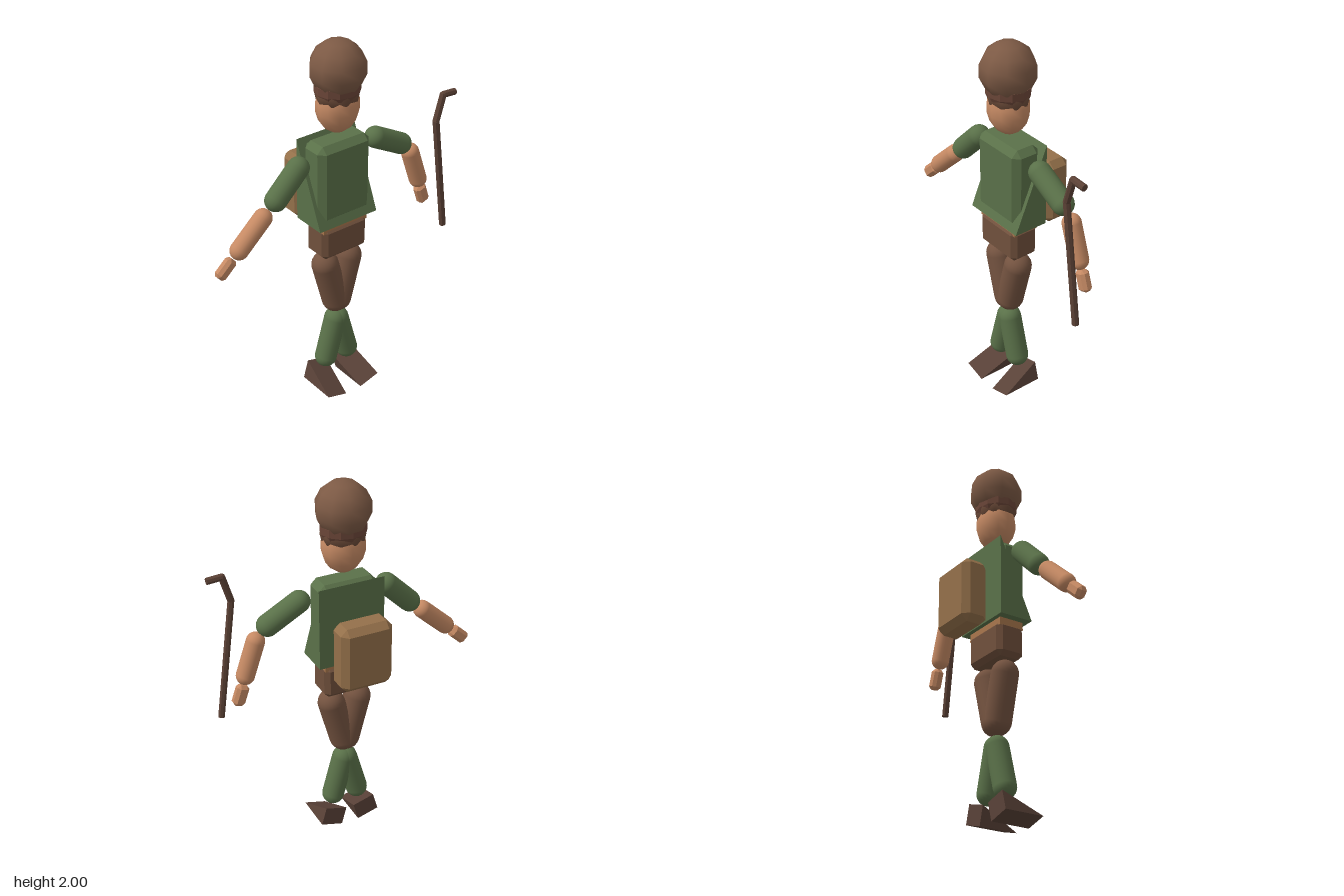
import * as THREE from 'three';
import { ConvexGeometry } from 'three/addons/geometries/ConvexGeometry.js';

const CX = 0.028, CZ = 0.066; // body axis
const C = {
  skin: 0xc68a64, hat: 0x7d5a45, band: 0x6b4638, hair: 0x6b4a38, green: 0x5a7149,
  trousers: 0x745340, pelvis: 0x70503c, belt: 0xa8764c, pack: 0x94704a, shoe: 0x5a4238, cane: 0x5c4236,
};

function mesh(name, geometry, color, flat = false) {
  const m = new THREE.Mesh(geometry, new THREE.MeshStandardMaterial({ color, flatShading: flat }));
  m.name = name;
  return m;
}

// Box with every edge and corner chamfered by c
function chamferBox(w, h, d, c) {
  const half = [w / 2, h / 2, d / 2], pts = [];
  for (const sx of [-1, 1]) for (const sy of [-1, 1]) for (const sz of [-1, 1])
    for (let axis = 0; axis < 3; axis++) {
      const p = half.map((v, i) => (i === axis ? v : v - c));
      pts.push(new THREE.Vector3(p[0] * sx, p[1] * sy, p[2] * sz));
    }
  return new ConvexGeometry(pts);
}

// Triangular prism: upright back at z = 0, sloping down to the toe at z = depth
function wedge(width, height, depth) {
  const s = new THREE.Shape([[0, 0], [depth, 0], [0, height]].map(p => new THREE.Vector2(...p)));
  return new THREE.ExtrudeGeometry(s, { depth: width, bevelEnabled: false })
    .translate(0, 0, -width / 2).rotateY(-Math.PI / 2);
}

// Places a geometry that runs along y between two points
function span(m, a, b) {
  m.position.copy(a).add(b).multiplyScalar(0.5);
  m.quaternion.setFromUnitVectors(new THREE.Vector3(0, 1, 0), b.clone().sub(a).normalize());
  return m;
}

// Limb segment: capsule between the two centres of its round ends
function limb(name, a, b, r, color) {
  const A = new THREE.Vector3(...a, CZ), B = new THREE.Vector3(...b, CZ);
  return span(mesh(name, new THREE.CapsuleGeometry(r, A.distanceTo(B), 8, 20), color), A, B);
}

function at(m, x, y, z) {
  m.position.set(x, y, z);
  return m;
}

export function createModel() {
  const g = new THREE.Group();
  g.name = 'hiker';

  // Head, hair, hat
  const head = at(mesh('head', new THREE.SphereGeometry(1, 12, 9), C.skin), CX, 1.66, CZ);
  head.scale.set(0.115, 0.14, 0.103);
  const hair = at(mesh('hair', new THREE.SphereGeometry(1, 9, 5, 0, Math.PI * 2, 0, Math.PI * 0.62), C.hair), CX, 1.73, CZ);
  hair.scale.set(0.118, 0.1, 0.106);
  hair.material.side = THREE.DoubleSide;
  const band = at(mesh('hatBand', new THREE.LatheGeometry(
    [[0, -0.032], [0.108, -0.032], [0.118, -0.01], [0.118, 0.03], [0, 0.03]].map(p => new THREE.Vector2(...p)), 12), C.band, true), CX, 1.75, CZ);
  band.scale.z = 0.92;
  const hat = at(mesh('hat', new THREE.SphereGeometry(0.144, 9, 7), C.hat), CX, 1.857, CZ);
  hat.rotation.y = Math.PI;
  g.add(head, hair, band, hat);

  // Torso, flared vest, belt, pelvis, backpack
  g.add(
    at(mesh('torso', chamferBox(0.32, 0.43, 0.16, 0.033), C.green, true), CX, 1.275, CZ),
    at(mesh('vest', wedge(0.36, 0.445, 0.19), C.green, true), CX, 1.047, -0.028),
    at(mesh('belt', new THREE.BoxGeometry(0.275, 0.06, 0.14), C.belt, true), CX, 1.035, CZ),
    at(mesh('pelvis', chamferBox(0.28, 0.185, 0.16, 0.025), C.pelvis, true), CX, 0.938, CZ),
    at(mesh('backpack', chamferBox(0.28, 0.355, 0.145, 0.033), C.pack, true), CX, 1.163, -0.147),
  );

  // Arms, each posed by its own joints
  const arms = [
    { side: 'right', upper: [[-0.212, 1.395], [-0.348, 1.262]], fore: [[-0.427, 1.193], [-0.57, 1.063]], hand: [-0.651, 0.988] },
    { side: 'left', upper: [[0.272, 1.408], [0.443, 1.317]], fore: [[0.51, 1.245], [0.572, 1.065]], hand: [0.605, 0.963] },
  ];
  for (const { side, upper, fore, hand } of arms) {
    const palm = at(mesh(side + 'Hand', chamferBox(0.066, 0.115, 0.055, 0.016), C.skin, true), ...hand, CZ - 0.004);
    palm.rotation.z = Math.atan2(fore[1][0] - fore[0][0], fore[0][1] - fore[1][1]);
    g.add(
      limb(side + 'UpperArm', ...upper, 0.057, C.green),
      limb(side + 'Forearm', ...fore, 0.048, C.skin),
      palm,
    );
  }

  // Legs, mirrored about the body axis
  for (const [side, s] of [['left', 1], ['right', -1]]) {
    const x = d => CX + s * d;
    const shoe = at(mesh(side + 'Shoe', wedge(0.125, 0.104, 0.22), C.shoe, true), x(0.11), 0.0175, 0);
    shoe.rotation.z = s * 0.27;
    g.add(
      limb(side + 'Thigh', [x(0.075), 0.77], [x(0.01), 0.532], 0.072, C.trousers),
      limb(side + 'Shin', [x(0.008), 0.4], [x(0.07), 0.177], 0.06, C.green),
      shoe,
    );
  }

  // Walking cane with a bent handle
  const cane = new THREE.Group();
  cane.name = 'cane';
  const path = [[0.675, 0.79], [0.587, 1.44], [0.627, 1.577], [0.706, 1.572]].map(p => new THREE.Vector3(...p, 0.168));
  for (let i = 0; i < 3; i++) {
    const len = path[i].distanceTo(path[i + 1]);
    cane.add(span(mesh('caneSegment', new THREE.CylinderGeometry(0.018, 0.018, len, 8), C.cane, true), path[i], path[i + 1]));
    if (i) cane.add(at(mesh('caneJoint', new THREE.SphereGeometry(0.018, 8, 6), C.cane, true), ...path[i].toArray()));
  }
  g.add(cane);
  return g;
}
